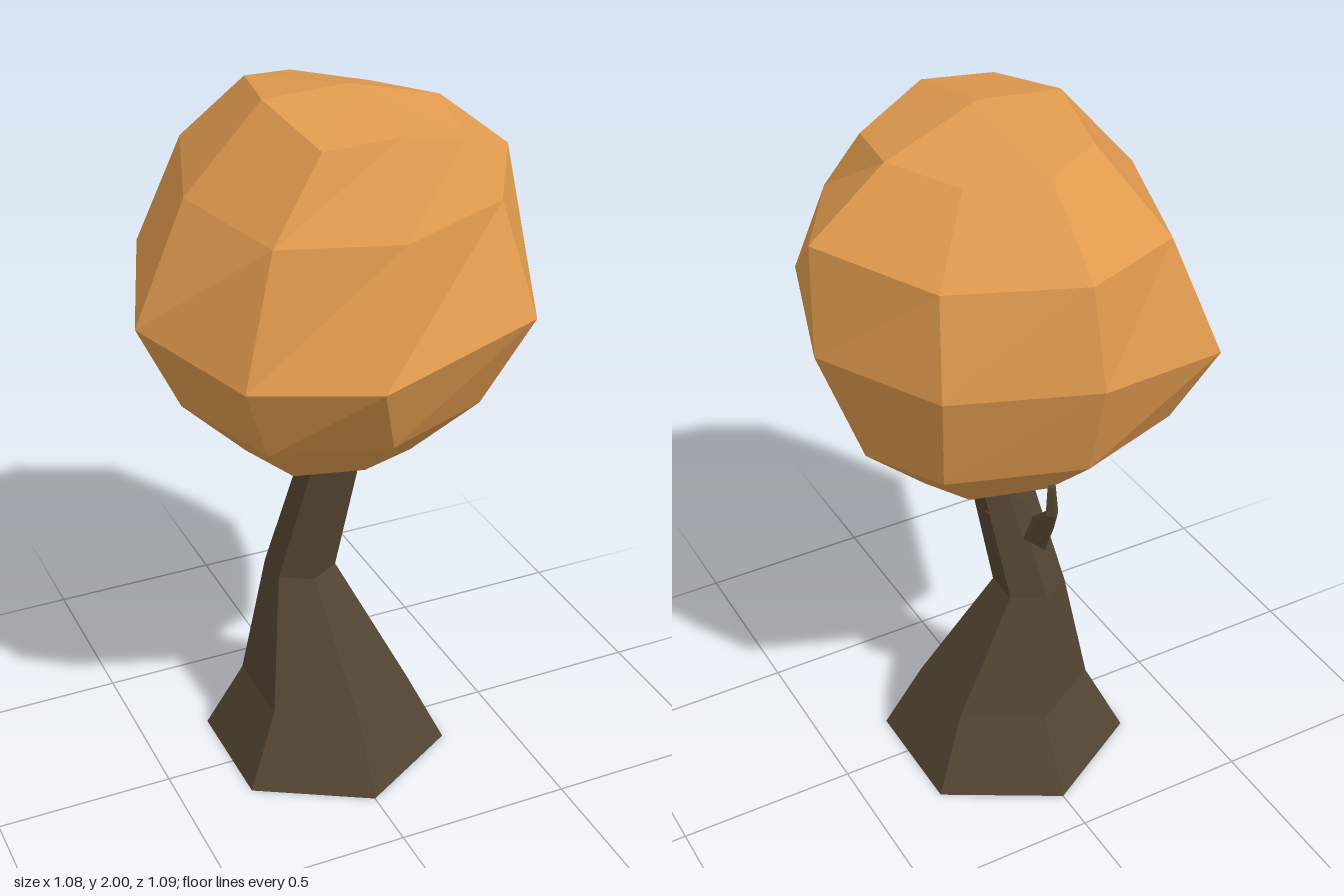
import * as THREE from 'three';

const foliageMaterial = new THREE.MeshStandardMaterial({ color: 0xe09a4e });
foliageMaterial.name = 'autumn orange';
foliageMaterial.flatShading = true;
const barkMaterial = new THREE.MeshStandardMaterial({ color: 0x544532 });
barkMaterial.name = 'dark bark';
barkMaterial.flatShading = true;

const deg = THREE.MathUtils.degToRad;

// Regular ring of n points, tilted about the x axis (0 = horizontal)
function ring(x, y, z, r, n, tilt = 0) {
  return Array.from({ length: n }, (_, i) => {
    const a = (i / n) * Math.PI * 2;
    return new THREE.Vector3(Math.sin(a) * r, 0, Math.cos(a) * r)
      .applyAxisAngle(new THREE.Vector3(1, 0, 0), deg(tilt))
      .add(new THREE.Vector3(x, y, z));
  });
}

// Uneven eight-point ring: radius, angle shift in degrees and height per point
function unevenRing(radii, shifts, heights) {
  return radii.map((r, i) => {
    const a = deg(i * 45 + shifts[i]);
    return new THREE.Vector3(Math.sin(a) * r, heights[i], Math.cos(a) * r);
  });
}

// Skin a stack of rings and close both ends on a point
function loft(name, rings, start, end, material) {
  const n = rings[0].length;
  const stack = [Array(n).fill(start), ...rings, Array(n).fill(end)];
  const points = [];
  for (let i = 0; i < stack.length - 1; i++) {
    for (let j = 0; j < n; j++) {
      const k = (j + 1) % n;
      const a = stack[i][j], b = stack[i][k], c = stack[i + 1][k], d = stack[i + 1][j];
      if (a !== b) points.push(a, b, c);
      if (c !== d) points.push(a, c, d);
    }
  }
  const geometry = new THREE.BufferGeometry().setFromPoints(points);
  geometry.computeVertexNormals();
  const mesh = new THREE.Mesh(geometry, material);
  mesh.name = name;
  return mesh;
}

const v = (x, y, z) => new THREE.Vector3(x, y, z);

export function createModel() {
  const tree = new THREE.Group();
  tree.name = 'tree';

  // Leaning six-sided trunk with a flared foot
  tree.add(loft('trunk', [
    ring(0, 0, -0.03, 0.35, 6),
    ring(0, 0.21, -0.03, 0.24, 6),
    ring(-0.05, 0.57, -0.085, 0.1, 6),
    ring(0.022, 0.99, -0.005, 0.08, 6),
  ], v(0, 0, -0.03), v(0.022, 0.99, -0.005), barkMaterial));

  // Small branch bending up behind the trunk
  tree.add(loft('branch', [
    ring(0.01, 0.835, -0.06, 0.066, 4, -90),
    ring(0.01, 0.855, -0.238, 0.047, 4, -45),
    ring(0.015, 0.97, -0.312, 0.019, 4),
    ring(0.015, 1.055, -0.308, 0.012, 4),
  ], v(0.01, 0.835, -0.06), v(0.015, 1.065, -0.305), barkMaterial));

  // Lumpy faceted crown, from the bottom ring to the top ring
  tree.add(loft('foliage', [
    unevenRing(
      [0.23, 0.23, 0.243, 0.27, 0.27, 0.27, 0.24, 0.235],
      [0, 2, 8, 0, 0, -3, 0, -2],
      [1.025, 1.01, 0.97, 1.0, 1.02, 1.02, 1.02, 1.01]),
    unevenRing(
      [0.41, 0.41, 0.424, 0.46, 0.46, 0.47, 0.42, 0.42],
      [-1, 4, 8, -1, 0, -5, 2, 0],
      [1.185, 1.175, 1.137, 1.18, 1.2, 1.2, 1.2, 1.17]),
    unevenRing(
      [0.551, 0.557, 0.538, 0.543, 0.55, 0.605, 0.541, 0.537],
      [-10, -0.5, 4.6, 2, -1.6, -9.6, 3.7, -0.8],
      [1.413, 1.455, 1.46, 1.47, 1.48, 1.45, 1.45, 1.395]),
    unevenRing(
      [0.43, 0.443, 0.525, 0.49, 0.5, 0.48, 0.383, 0.45],
      [1.3, 6, 2.5, 0, -3, -14.6, -2, 4],
      [1.735, 1.737, 1.755, 1.735, 1.745, 1.76, 1.755, 1.74]),
    unevenRing(
      [0.305, 0.345, 0.316, 0.297, 0.305, 0.27, 0.184, 0.313],
      [10.4, 6.5, 2.7, 0, -5, -17, 4.7, 18],
      [1.95, 1.888, 1.92, 1.91, 1.935, 1.96, 1.985, 1.935]),
  ], v(0.01, 0.945, -0.01), v(0.04, 2, 0.03), foliageMaterial));

  return tree;
}
